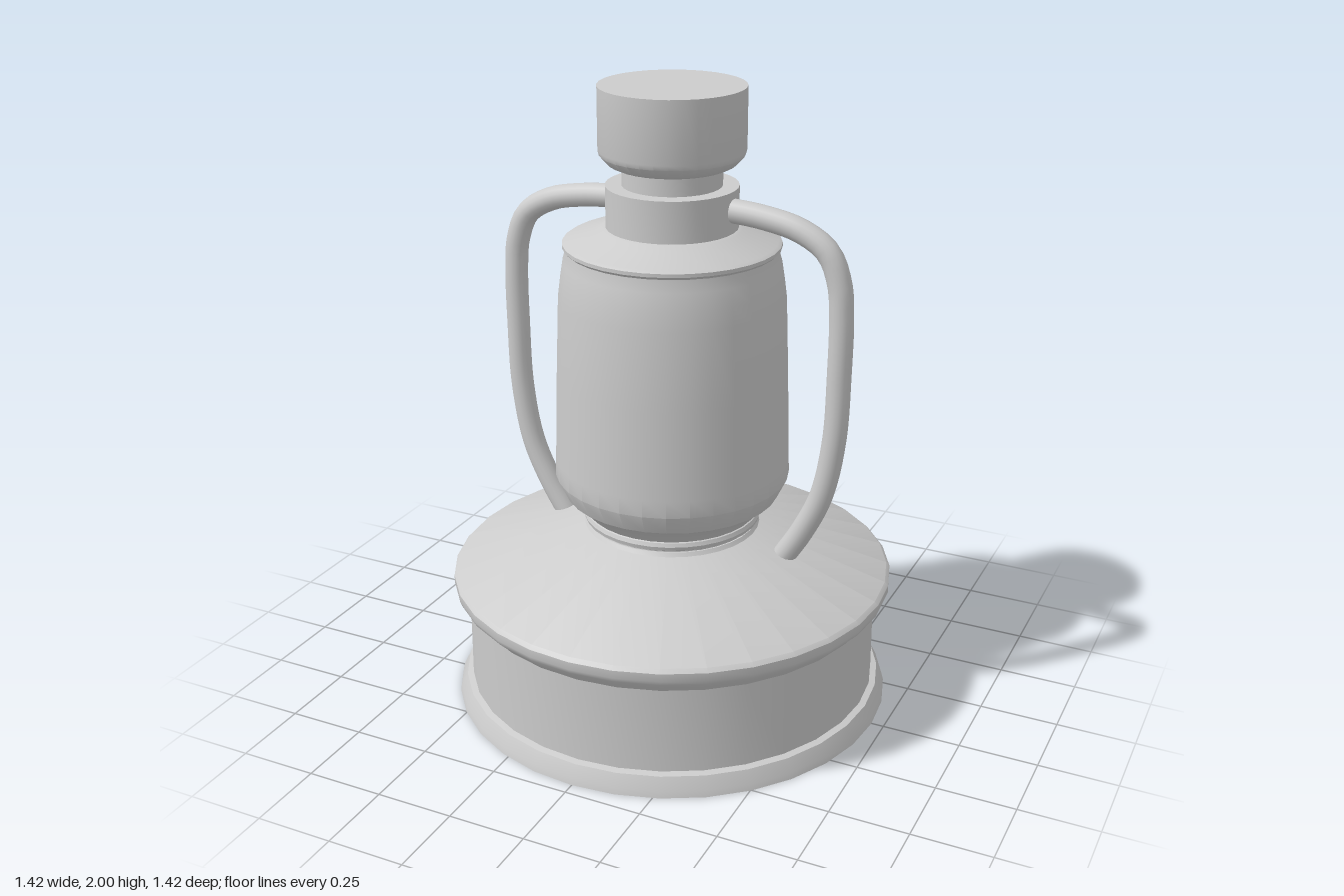
import * as THREE from 'three';
import { toCreasedNormals } from 'three/addons/utils/BufferGeometryUtils.js';

const material = new THREE.MeshStandardMaterial({ color: 0xcccccc });

function addMesh(parent, name, geometry) {
  const mesh = new THREE.Mesh(geometry, material);
  mesh.name = name;
  parent.add(mesh);
  return mesh;
}

// Turned part from a bottom-to-top list of [radius, height]
function turned(parent, name, profile, segments = 32) {
  const points = profile.map(([r, y]) => new THREE.Vector2(r, y));
  return addMesh(parent, name, toCreasedNormals(new THREE.LatheGeometry(points, segments), 0.5));
}

export function createModel() {
  const lantern = new THREE.Group();
  lantern.name = 'lantern';

  // Fuel tank with flared foot, rolled rim and conical top
  turned(lantern, 'fuelTank', [
    [0, 0], [0.71, 0], [0.705, 0.02], [0.685, 0.06], [0.665, 0.065], [0.663, 0.345],
    [0.675, 0.36], [0.705, 0.39], [0.711, 0.405], [0.711, 0.43], [0.7, 0.442],
    [0.283, 0.588], [0.275, 0.6], [0, 0.6],
  ]);

  // Beaded collar that seats the globe
  turned(lantern, 'globeCollar', [
    [0.27, 0.59], [0.27, 0.603], [0.282, 0.61], [0.285, 0.622], [0.28, 0.634], [0.265, 0.642], [0, 0.642],
  ]);

  // Globe, tapering upwards
  turned(lantern, 'globe', [
    [0, 0.635], [0.275, 0.635], [0.315, 0.682], [0.343, 0.7], [0.374, 0.765], [0.372, 0.82],
    [0.363, 1.1], [0.353, 1.35], [0.345, 1.41], [0.336, 1.465], [0.326, 1.5], [0.326, 1.515],
  ]);

  // Sloped shoulder above the globe
  turned(lantern, 'shoulder', [
    [0.315, 1.49], [0.323, 1.5], [0.336, 1.512], [0.336, 1.523], [0.325, 1.53],
    [0.235, 1.556], [0.215, 1.568], [0.2, 1.572],
  ]);

  // Neck, chimney and top cap
  turned(lantern, 'neck', [[0.203, 1.56], [0.203, 1.7], [0, 1.7]]);
  turned(lantern, 'chimney', [[0.153, 1.69], [0.153, 1.78]]);
  turned(lantern, 'topCap', [
    [0, 1.76], [0.178, 1.76], [0.195, 1.768], [0.22, 1.795], [0.224, 1.81], [0.224, 2], [0, 2],
  ]);

  // Mirrored side tubes from neck to tank
  const path = [
    [0.16, 1.643], [0.3, 1.632], [0.42, 1.605], [0.505, 1.55], [0.543, 1.46], [0.553, 1.36],
    [0.553, 1.18], [0.545, 0.96], [0.51, 0.77], [0.45, 0.635], [0.39, 0.535],
  ];
  for (const [name, side] of [['leftSideTube', 1], ['rightSideTube', -1]]) {
    const curve = new THREE.CatmullRomCurve3(path.map(([x, y]) => new THREE.Vector3(side * x, y, 0)));
    addMesh(lantern, name, new THREE.TubeGeometry(curve, 48, 0.037, 16));
  }

  // Filler cap, square to the sloping tank top at the back
  const filler = turned(lantern, 'fillerCap', [
    [0.085, -0.13], [0.085, -0.015], [0.082, -0.006], [0.075, 0], [0, 0],
  ], 24);
  filler.position.set(0, 0.576, -0.563);
  filler.rotation.x = -0.34;

  return lantern;
}
